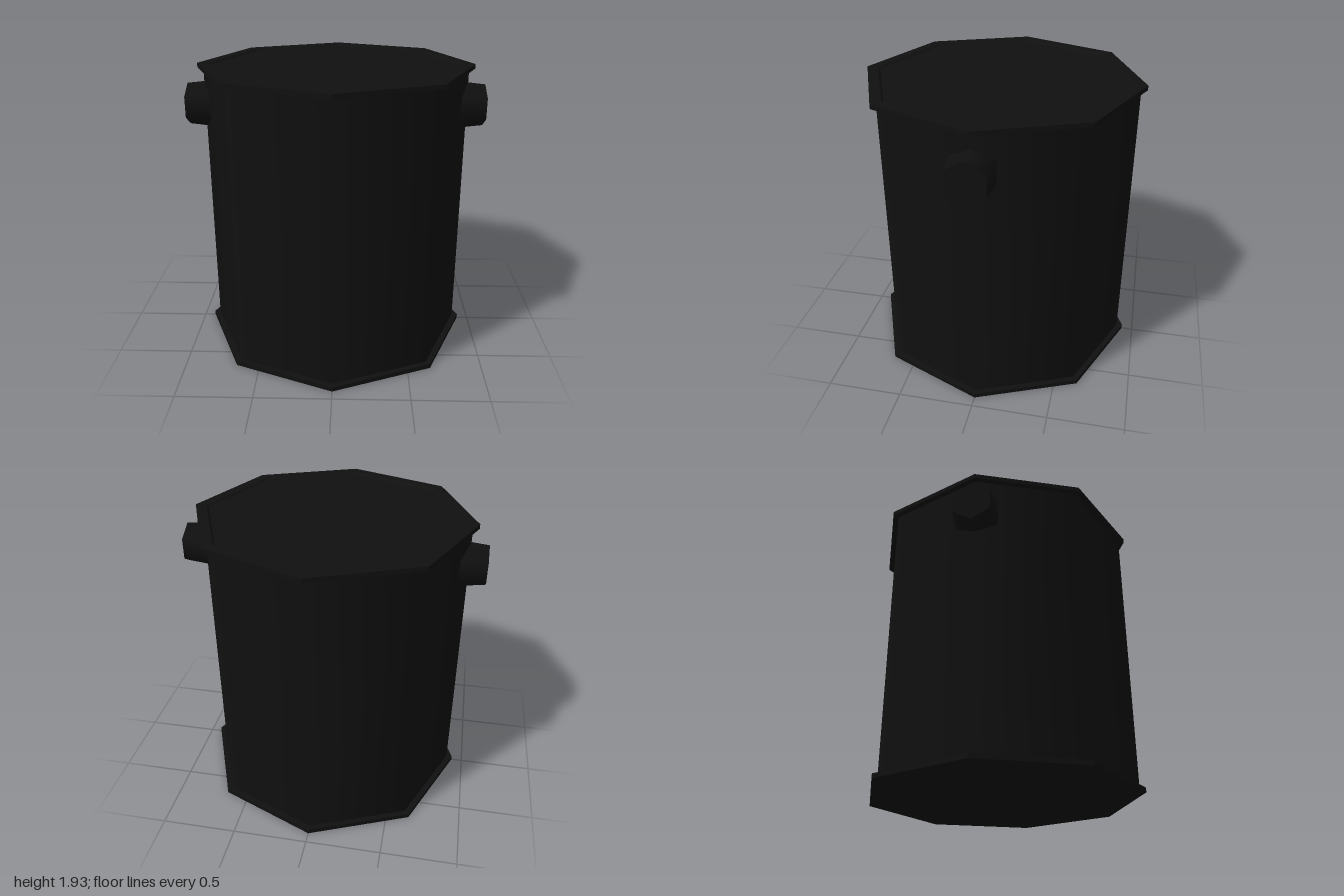
import * as THREE from 'three';

const SIDES = 8;
const smooth = new THREE.MeshStandardMaterial({ color: 0x101010 });
const faceted = new THREE.MeshStandardMaterial({ color: 0x101010, flatShading: true });

export function createModel() {
  const model = new THREE.Group();
  model.name = 'drum';

  const add = (name, geometry, material) => {
    const mesh = new THREE.Mesh(geometry, material);
    mesh.name = name;
    model.add(mesh);
    return mesh;
  };
  const lathe = (points) =>
    new THREE.LatheGeometry(points.map(([r, y]) => new THREE.Vector2(r, y)), SIDES);

  // Eight-sided wall with soft shading
  const wall = add('body', new THREE.CylinderGeometry(0.885, 0.885, 1.87, SIDES, 1, true), smooth);
  wall.position.y = 0.965;

  // Flat base with a projecting rim
  add('bottomRim', lathe([[0, 0], [0.925, 0], [0.925, 0.03], [0.88, 0.03]]), faceted);

  // Lid with a projecting rim and a shallow inset panel
  add('lid', lathe([
    [0.88, 1.9], [0.925, 1.9], [0.925, 1.93], [0.85, 1.93], [0.835, 1.918], [0, 1.918],
  ]), faceted);

  // Tapered six-sided lugs, one on each side
  for (const side of [1, -1]) {
    const geometry = new THREE.CylinderGeometry(0.14, 0.163, 0.2, 6, 1, false, Math.PI / 2);
    const lug = add(side > 0 ? 'leftLug' : 'rightLug', geometry, smooth);
    lug.rotation.z = -side * Math.PI / 2;
    lug.position.set(side * 0.9, 1.655, 0);
  }

  return model;
}
